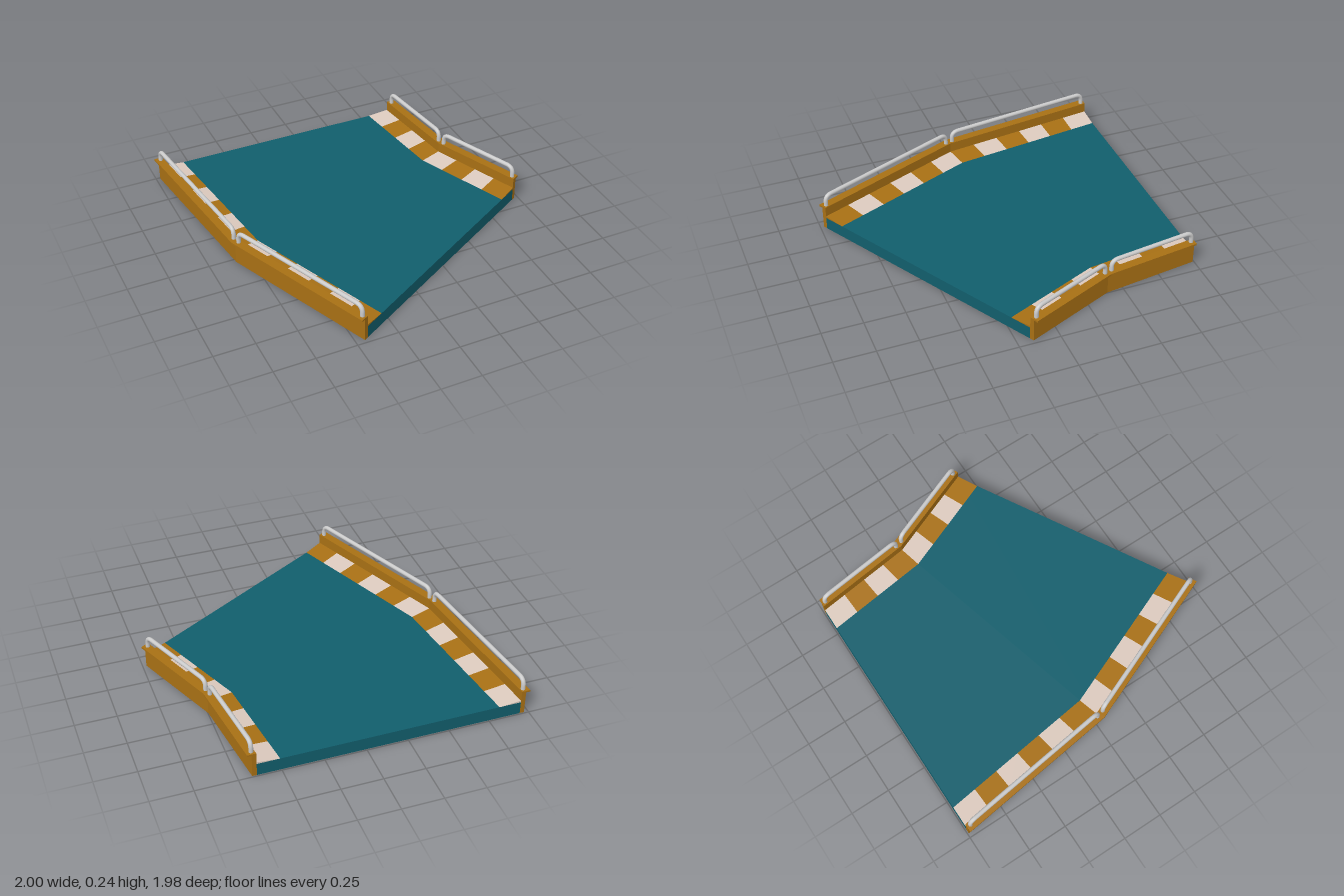
import * as THREE from 'three';

// Bend: two straight segments of 15 degrees each around a far centre
const CX = 2.965, CZ = -0.992, MID = 3.1175, STEP = Math.PI / 12;

const paint = (color) => new THREE.MeshStandardMaterial({ color, flatShading: true });

// Corner of the bend at radius r; k = 0, 1, 2 from back to front
const corner = (r, y, k) =>
  new THREE.Vector3(CX - r * Math.cos(k * STEP), y, CZ + r * Math.sin(k * STEP));

// Point along the chords, t from 0 (back) to 2 (front)
function along(r, y, t) {
  const k = Math.min(Math.floor(t), 1);
  return corner(r, y, k).lerp(corner(r, y, k + 1), t - k);
}

// Sweep a convex [radius, y] profile through the stations ts, with end caps
function sweep(profile, ts) {
  const pts = profile.map(([r, y]) => new THREE.Vector2(-r, y));
  if (THREE.ShapeUtils.area(pts) < 0) pts.reverse();
  const n = pts.length, pos = [];
  const rings = ts.map((t) => pts.map((p) => along(-p.x, p.y, t)));
  const tri = (...v) => v.forEach((p) => pos.push(p.x, p.y, p.z));
  for (let s = 0; s < rings.length - 1; s++) {
    const back = rings[s], front = rings[s + 1];
    for (let a = 0; a < n; a++) {
      const b = (a + 1) % n;
      tri(front[a], back[a], back[b]);
      tri(front[a], back[b], front[b]);
    }
  }
  const first = rings[0], last = rings[rings.length - 1];
  for (let i = 1; i < n - 1; i++) {
    tri(last[0], last[i], last[i + 1]);
    tri(first[0], first[i + 1], first[i]);
  }
  const g = new THREE.BufferGeometry();
  g.setAttribute('position', new THREE.Float32BufferAttribute(pos, 3));
  g.computeVertexNormals();
  return g;
}

const rect = (r0, r1, y0, y1) => [[r0, y0], [r1, y0], [r1, y1], [r0, y1]];

// Bent pipe: post, rounded corner, rail, rounded corner, post
function railGeometry(r, k) {
  const yBase = 0.15, yTop = 0.225, bend = 0.045, inset = 0.024;
  const a = corner(r, 0, k), b = corner(r, 0, k + 1);
  const dir = b.clone().sub(a).normalize();
  a.addScaledVector(dir, inset);
  b.addScaledVector(dir, -inset);
  const at = (p, y, d = 0) => p.clone().addScaledVector(dir, d).setY(y);
  const path = new THREE.CurvePath();
  path.add(new THREE.LineCurve3(at(a, yBase), at(a, yTop - bend)));
  path.add(new THREE.QuadraticBezierCurve3(at(a, yTop - bend), at(a, yTop), at(a, yTop, bend)));
  path.add(new THREE.LineCurve3(at(a, yTop, bend), at(b, yTop, -bend)));
  path.add(new THREE.QuadraticBezierCurve3(at(b, yTop, -bend), at(b, yTop), at(b, yTop - bend)));
  path.add(new THREE.LineCurve3(at(b, yTop - bend), at(b, yBase)));
  return new THREE.TubeGeometry(path, 110, 0.0135, 10);
}

export function createModel() {
  const model = new THREE.Group();
  const teal = paint(0x115e6c), orange = paint(0xa87014), pale = paint(0xdccabe);
  const metal = new THREE.MeshStandardMaterial({ color: 0xcccccc });
  const add = (parent, name, geometry, material) => {
    const mesh = new THREE.Mesh(geometry, material);
    mesh.name = name;
    parent.add(mesh);
  };

  // Road slab
  add(model, 'roadDeck', sweep(rect(MID - 0.795, MID + 0.795, 0, 0.08), [0, 1, 2]), teal);

  // Both edges: the outer one of the bend (right) is longer and has more stripes
  for (const [label, sign, stripes] of [['right', 1, 6], ['left', -1, 4]]) {
    const side = new THREE.Group();
    side.name = label + 'Edge';
    model.add(side);
    const R = (d) => MID + sign * d;

    // Barrier wall with a ledge overhanging outward
    add(side, 'barrierWall', sweep(rect(R(0.795), R(0.822), 0, 0.145), [0, 1, 2]), orange);
    add(side, 'barrierLedge', sweep(rect(R(0.795), R(0.8475), 0.145, 0.156), [0, 1, 2]), orange);

    // Sloped kerb in alternating stripes
    const kerb = [[R(0.66), 0.08], [R(0.795), 0.08], [R(0.795), 0.092]];
    for (let i = 0; i < stripes * 2; i++) {
      const ts = [i / stripes, (i + 1) / stripes];
      add(side, 'kerbStripe', sweep(kerb, ts), i % 2 ? orange : pale);
    }

    // One handrail per segment
    for (let k = 0; k < 2; k++) add(side, 'handrail', railGeometry(R(0.815), k), metal);
  }
  return model;
}
